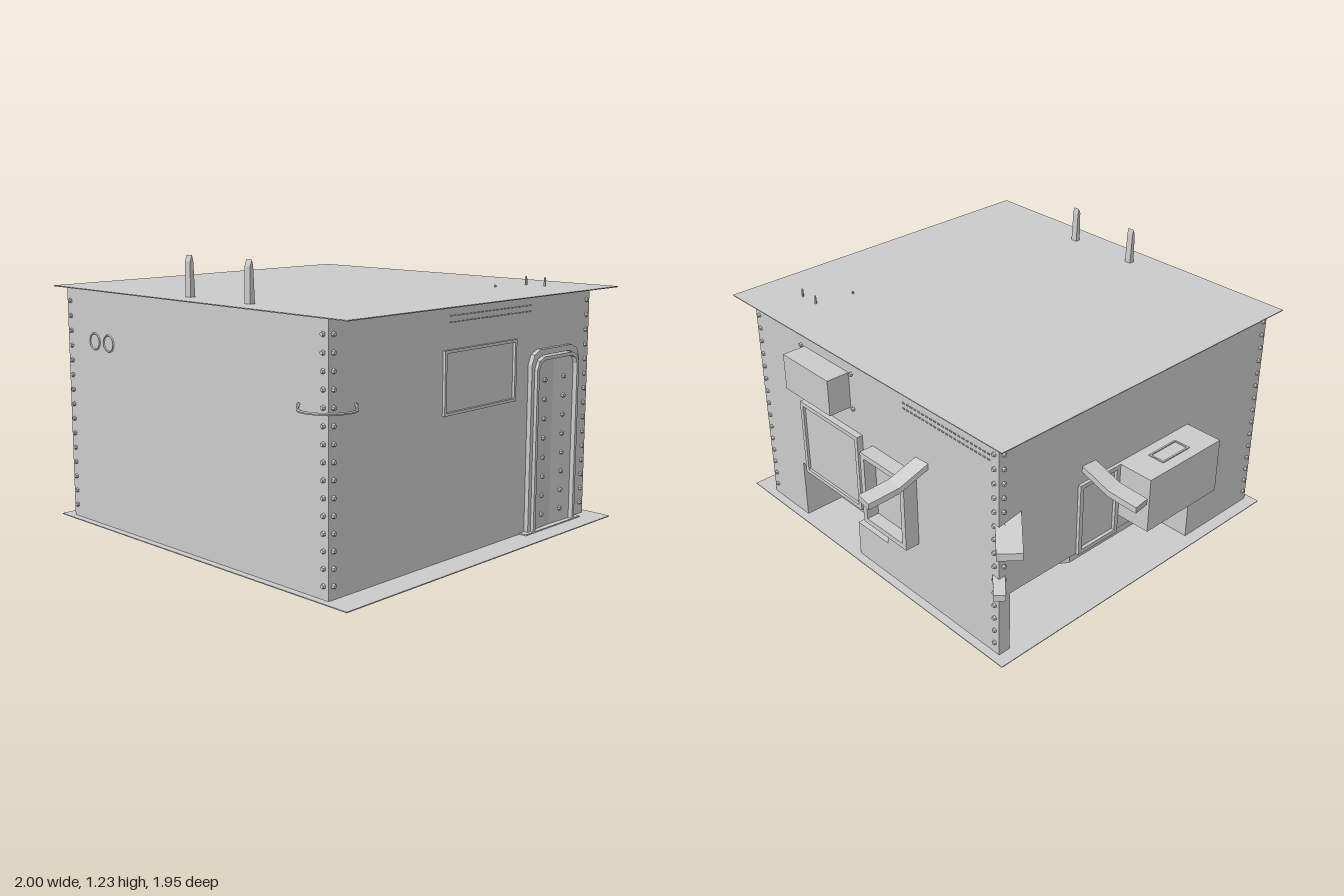
import * as THREE from 'three';
import { mergeGeometries } from 'three/addons/utils/BufferGeometryUtils.js';

const grey = new THREE.MeshStandardMaterial({ color: 0xcccccc, flatShading: true, side: THREE.DoubleSide });

export function createModel() {
  const group = new THREE.Group();
  const add = (name, geometry) => {
    const mesh = new THREE.Mesh(geometry, grey);
    mesh.name = name;
    group.add(mesh);
    return mesh;
  };
  // Box given by its limits on each axis
  const boxGeo = (x0, x1, y0, y1, z0, z1) =>
    new THREE.BoxGeometry(x1 - x0, y1 - y0, z1 - z0)
      .translate((x0 + x1) / 2, (y0 + y1) / 2, (z0 + z1) / 2);
  const box = (name, ...limits) => add(name, boxGeo(...limits));
  const shapeOf = (points) => new THREE.Shape(points.map(([x, y]) => new THREE.Vector2(x, y)));

  const X0 = -0.74, X1 = 0.88, Z0 = -0.7, Z1 = 0.94, FLOOR = 0.015, TOP = 1.055, SPLIT = 0.31;

  // Floor and roof sheets overhang the walls
  box('floorSheet', -0.8, 1, FLOOR - 0.002, FLOOR + 0.002, -0.74, 0.97);
  box('roofSheet', -0.8, 1, TOP - 0.002, TOP + 0.002, -0.74, 0.97);

  // Upper walls, and lower walls with a niche in the back and in the right side
  box('upperWalls', X0, X1, SPLIT, TOP, Z0, Z1);
  const footprint = [
    [X0, Z1], [X1, Z1], [X1, Z0], [0.61, Z0], [0.61, -0.5], [-0.02, -0.5], [-0.02, Z0], [X0, Z0],
    [X0, -0.64], [-0.42, -0.64], [-0.42, -0.19], [-0.51, -0.05], [-0.51, 0.49], [X0, 0.49],
  ].map(([x, z]) => [x, -z]);
  add('lowerWalls', new THREE.ExtrudeGeometry(shapeOf(footprint), { depth: SPLIT - FLOOR, bevelEnabled: false })
    .rotateX(-Math.PI / 2).translate(0, FLOOR, 0));
  box('nicheBlock', -0.02, 0.195, FLOOR, 0.19, Z0, -0.5);

  // Rectangular frame in the xy plane, thickness along +z
  const frameGeo = (w, h, rim, depth) => {
    const rect = (a, b) => [[-a, -b], [a, -b], [a, b], [-a, b]];
    const s = shapeOf(rect(w / 2, h / 2));
    s.holes.push(shapeOf(rect(w / 2 - rim, h / 2 - rim)));
    return new THREE.ExtrudeGeometry(s, { depth, bevelEnabled: false });
  };
  const frame = (name, w, h, rim, depth, x, y, z, turn) =>
    add(name, frameGeo(w, h, rim, depth).rotateY(turn).translate(x, y, z));

  // Back wall frames, cabinet and niche panel
  frame('shallowFrame', 0.42, 0.38, 0.02, 0.03, 0.33, 0.5, Z0, Math.PI);
  box('shallowFramePanel', 0.14, 0.52, 0.33, 0.67, Z0 - 0.018, Z0);
  frame('deepFrame', 0.29, 0.36, 0.025, 0.07, -0.095, 0.49, Z0, Math.PI);
  box('deepFramePanel', -0.22, 0.03, 0.33, 0.65, Z0 - 0.01, Z0);
  frame('nichePanel', 0.2, 0.18, 0.015, 0.01, 0.32, 0.15, -0.5, Math.PI);
  box('backCabinet', 0.19, 0.51, 0.8, 0.97, -0.81, Z0);

  // Right side cabinet and wall frame
  box('sideCabinet', -0.92, X0, 0.4, 0.66, -0.02, 0.43);
  add('cabinetLid', frameGeo(0.08, 0.17, 0.008, 0.005).rotateX(-Math.PI / 2).translate(-0.83, 0.66, 0.2));
  frame('sideFrame', 0.24, 0.35, 0.02, 0.015, X0, 0.485, -0.14, -Math.PI / 2);

  // Left side window
  frame('window', 0.465, 0.26, 0.012, 0.012, X1, 0.74, 0.0775, Math.PI / 2);

  // Door: chamfered arch, two leaves slightly angled, sill
  const arch = (half, top, c) => [
    [-half, 0], [half, 0], [half, top - c], [half - c * 0.3, top - c * 0.3], [half - c, top],
    [c - half, top], [c * 0.3 - half, top - c * 0.3], [-half, top - c]];
  const doorZ = -0.428;
  const archRing = (name, half, rim, top, c, depth) => {
    const s = shapeOf(arch(half, top, c));
    s.holes.push(shapeOf(arch(half - rim, top - rim, c * 0.8).map(([x, y]) => [x, Math.max(y, 0.004)])));
    add(name, new THREE.ExtrudeGeometry(s, { depth, bevelEnabled: false })
      .rotateY(Math.PI / 2).translate(X1, 0.005, doorZ));
  };
  archRing('doorOuterFrame', 0.175, 0.025, 0.805, 0.06, 0.02);
  archRing('doorInnerFrame', 0.155, 0.015, 0.775, 0.05, 0.035);
  for (const side of [-1, 1]) {
    const leaf = box('doorLeaf', -0.005, 0.005, 0.005, 0.76, -0.07, 0.07);
    leaf.position.set(X1 + 0.006, 0, doorZ + side * 0.07);
    leaf.rotation.y = side * 0.05;
  }
  box('doorSill', 0.87, 0.915, 0, 0.022, -0.63, -0.22);

  // Bolts: hexagonal heads collected into one mesh; axis is the wall direction
  const bolts = [];
  const bolt = (x, y, z, dx, dz, r = 0.011) => {
    const g = new THREE.CylinderGeometry(r * 0.7, r, r, 6).translate(0, r / 2, 0);
    g.rotateX(Math.PI / 2).rotateY(Math.atan2(dx, dz));
    bolts.push(g.translate(x, y, z));
  };
  for (let i = 0; i < 15; i++) {
    const y = 0.07 + i * 0.066;
    for (const x of [X0 + 0.025, X1 - 0.025]) {
      bolt(x, y, Z1, 0, 1);
      bolt(x, y, Z0, 0, -1);
    }
    for (const z of [Z0 + 0.025, Z1 - 0.025]) {
      bolt(X1, y, z, 1, 0);
      if (z > 0 || y > SPLIT) bolt(X0, y, z, -1, 0);
    }
  }
  for (const z of [doorZ - 0.07, doorZ + 0.07])
    for (let i = 0; i < 8; i++) bolt(X1 + 0.011, 0.08 + i * 0.085, z, 1, 0);
  for (const x of [0.17, 0.53])
    for (const y of [0.8, 0.97]) bolt(x, y, Z0, 0, -1);
  add('bolts', mergeGeometries(bolts));

  // Fine double rows of rivets under the roof edge
  const rivets = [];
  for (let i = 0; i < 22; i++)
    for (const y of [0.975, 1]) {
      const z = -0.26 + i * 0.0248, x = -0.69 + i * 0.024;
      rivets.push(boxGeo(X1, X1 + 0.004, y, y + 0.005, z, z + 0.012));
      rivets.push(boxGeo(x, x + 0.012, y - 0.02, y - 0.015, Z0 - 0.004, Z0));
    }
  add('rivetRows', mergeGeometries(rivets));

  // Bent straps that slope down and away from the walls
  const strap = (name, profile, t, width, x, y, z, turn) => {
    const outline = [...profile, ...profile.slice().reverse().map(([a, b]) => [a, b - t])];
    add(name, new THREE.ExtrudeGeometry(shapeOf(outline), { depth: width, bevelEnabled: false })
      .translate(0, 0, -width / 2).rotateY(turn).translate(x, y, z));
  };
  const bent = [[-0.02, 0.01], [0.13, -0.06], [0.19, -0.07], [0.275, -0.082]];
  strap('backStrap', bent, 0.028, 0.08, -0.28, 0.755, Z0, 1.43);
  strap('sideStrap', bent.map(([a, b]) => [a * 0.95, b]), 0.028, 0.08, X0, 0.74, -0.2, Math.PI + 0.135);
  strap('cornerStrap', [[-0.05, 0.03], [0.07, 0], [0.16, -0.02]], 0.035, 0.105, X0, 0.66, -0.65, Math.PI - 0.72);
  strap('lowerCornerStrap', [[-0.04, 0.02], [0.08, 0]], 0.03, 0.05, X0, 0.4, Z0, Math.PI - 0.72);

  // Handle bent round the front left corner
  const handle = new THREE.CatmullRomCurve3([
    [0.73, 0.73, 0.94], [0.735, 0.71, 0.955], [0.86, 0.71, 0.96], [0.9, 0.71, 0.92],
    [0.895, 0.71, 0.805], [0.88, 0.73, 0.8]].map((p) => new THREE.Vector3(...p)));
  add('cornerHandle', new THREE.TubeGeometry(handle, 24, 0.006, 6));

  // Pair of thin rings on the front wall
  for (const x of [-0.54, -0.44])
    add('frontRing', new THREE.TorusGeometry(0.035, 0.004, 4, 20).translate(x, 0.83, Z1));

  // Leaning roof posts with narrowed tops
  for (const x of [0.016, 0.375]) {
    const side = shapeOf([[-0.87, TOP], [-0.845, TOP], [-0.852, 1.2], [-0.858, 1.225], [-0.868, 1.2]]);
    add('roofPost', new THREE.ExtrudeGeometry(side, { depth: 0.032, bevelEnabled: false })
      .rotateY(Math.PI / 2).translate(x - 0.016, 0, 0));
  }
  // Small roof pins
  for (const [x, z, h] of [[0.67, -0.515, 0.04], [0.77, -0.515, 0.04], [0.64, -0.33, 0.012]])
    add('roofPin', new THREE.CylinderGeometry(0.004, 0.006, h, 6).translate(x, TOP + h / 2, z));

  return group;
}
